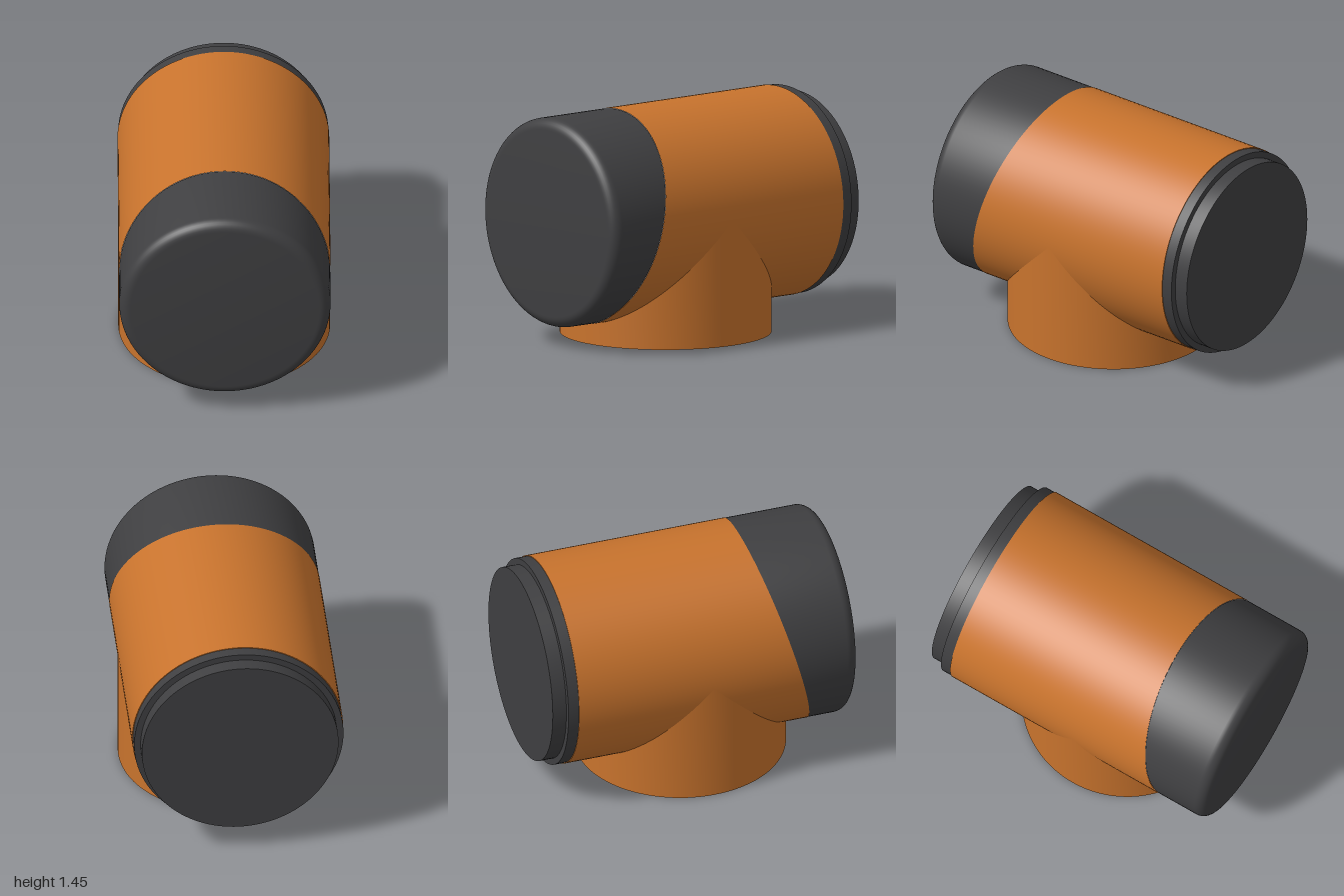
import * as THREE from 'three';
import { toCreasedNormals } from 'three/addons/utils/BufferGeometryUtils.js';

const R = 0.66;        // pipe radius
const AXIS_Y = 0.79;   // height of the main pipe's axis
const BRANCH_Z = 0.05; // position of the branch's axis
const SEGMENTS = 96;
const EDGE = 50;       // profile height marking the end that is reshaped

// Revolved [radius, height] profile; endRule(x, z) sets the height of the EDGE vertices.
function turned(profile, endRule) {
  const points = profile.map(([r, h]) => new THREE.Vector2(r, h));
  const geometry = new THREE.LatheGeometry(points, SEGMENTS);
  const pos = geometry.attributes.position;
  for (let i = 0; i < pos.count; i++) {
    if (pos.getY(i) === EDGE) pos.setY(i, endRule(pos.getX(i), pos.getZ(i)));
  }
  return toCreasedNormals(geometry, 0.6);
}

export function createModel() {
  const group = new THREE.Group();
  const orange = new THREE.MeshStandardMaterial({ color: 0xc8732d });
  const dark = new THREE.MeshStandardMaterial({ color: 0x3f3f41 });

  function add(name, geometry, material) {
    const mesh = new THREE.Mesh(geometry, material);
    mesh.name = name;
    group.add(mesh);
    return mesh;
  }
  // Lays a turned part along z on the main axis
  function addAlongZ(name, geometry, material) {
    add(name, geometry.rotateX(Math.PI / 2), material).position.y = AXIS_Y;
  }

  // Slanted seam between the body and the front cap (local -z becomes up)
  const seam = (x, z) => 0.615 + 0.265 * z;

  // Main pipe
  addAlongZ('mainPipe', turned([[0.6, -0.84], [R, -0.84], [R, EDGE]], seam), orange);

  // Front cap with rounded rim
  const fillet = 0.07, capR = 0.658;
  const capProfile = [[capR, EDGE]];
  for (let i = 0; i <= 8; i++) {
    const a = (i / 8) * Math.PI / 2;
    capProfile.push([capR - fillet + fillet * Math.cos(a), 1 - fillet + fillet * Math.sin(a)]);
  }
  capProfile.push([0, 1]);
  addAlongZ('frontCap', turned(capProfile, seam), dark);

  // Stepped back cap
  addAlongZ('backCap', turned([
    [0, -1], [0.615, -1], [0.615, -0.91], [0.655, -0.91], [0.655, -0.84],
  ]), dark);

  // Downward branch with recessed base, its top mitred to the main pipe
  const saddle = (x, z) => AXIS_Y - Math.abs(z);
  add('branchPipe', turned([
    [0, 0.09], [0.615, 0.09], [0.615, 0], [R, 0], [R, EDGE],
  ], saddle), orange).position.z = BRANCH_Z;

  return group;
}
